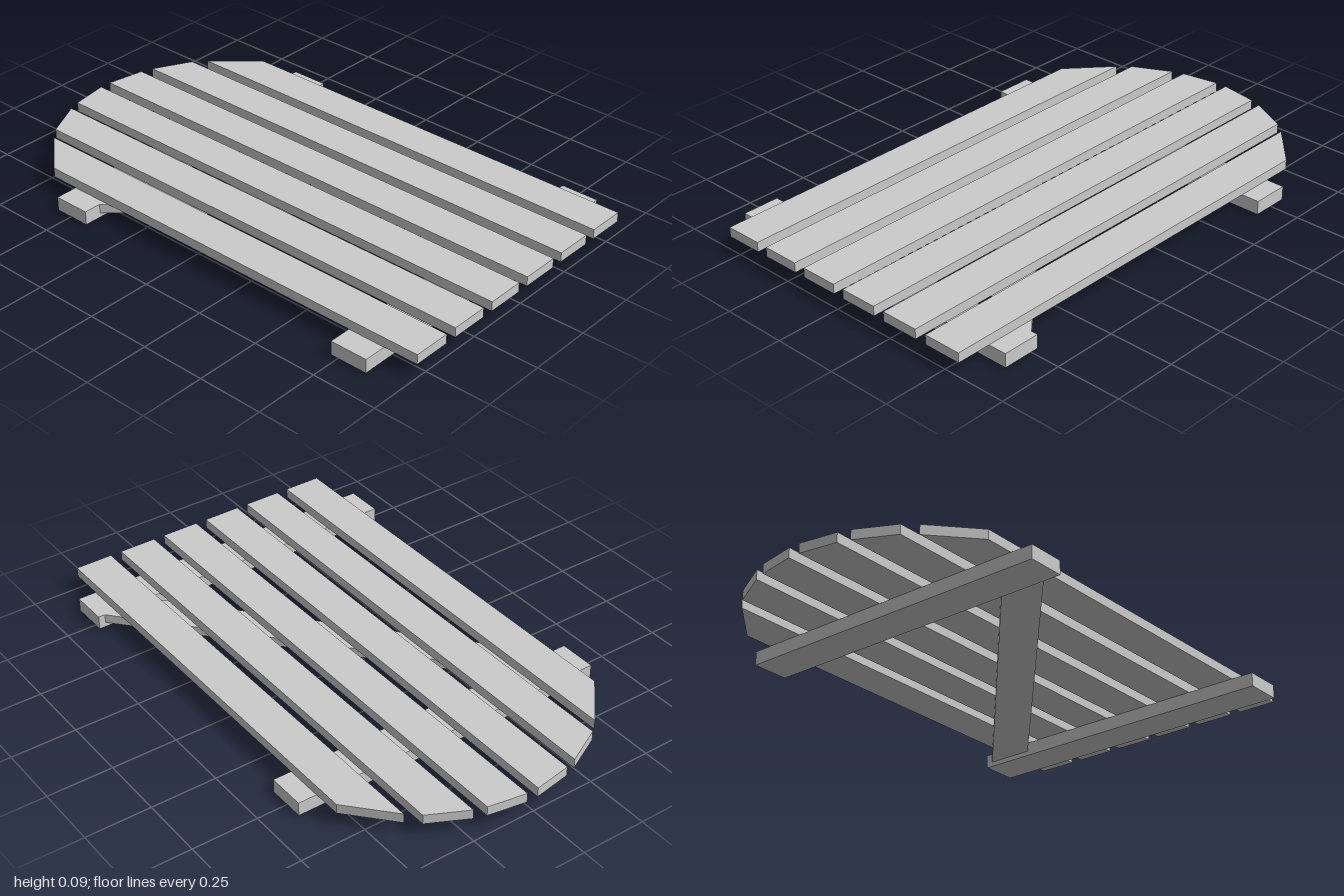
import * as THREE from 'three';

const material = new THREE.MeshStandardMaterial({ color: 0xcccccc, flatShading: true });

// A flat board: an outline of [x, z] corners raised from y0 to y1
function board(name, corners, y0, y1) {
  const shape = new THREE.Shape(corners.map(([x, z]) => new THREE.Vector2(x, -z)));
  const geometry = new THREE.ExtrudeGeometry(shape, { depth: y1 - y0, bevelEnabled: false });
  geometry.rotateX(-Math.PI / 2).translate(0, y0, 0);
  const mesh = new THREE.Mesh(geometry, material);
  mesh.name = name;
  return mesh;
}

export function createModel() {
  const group = new THREE.Group();
  group.name = 'archedGate';
  const railTop = 0.053, plankTop = 0.09;

  // Six planks whose slanted ends form the arch: [left z, right z]
  const ends = [[-0.68, -0.845], [-0.885, -0.96], [-0.975, -1]];
  for (const [a, b] of [...ends].reverse()) ends.push([b, a]);
  ends.forEach(([zLeft, zRight], i) => {
    const x0 = -0.546 + i * 0.1922, x1 = x0 + 0.147;
    group.add(board(`plank${i + 1}`, [[x0, 1], [x1, 1], [x1, zRight], [x0, zLeft]], railTop, plankTop));
  });

  // Two cross rails under the planks
  const rails = { upperRail: [-0.568, -0.422], lowerRail: [0.72, 0.866] };
  for (const [name, [z0, z1]] of Object.entries(rails)) {
    group.add(board(name, [[-0.633, z1], [0.633, z1], [0.633, z0], [-0.633, z0]], 0, railTop));
  }

  // Thinner diagonal brace between the rails
  group.add(board('diagonalBrace',
    [[-0.566, -0.422], [0.423, 0.72], [0.607, 0.72], [-0.386, -0.422]], 0.018, railTop));

  return group;
}
